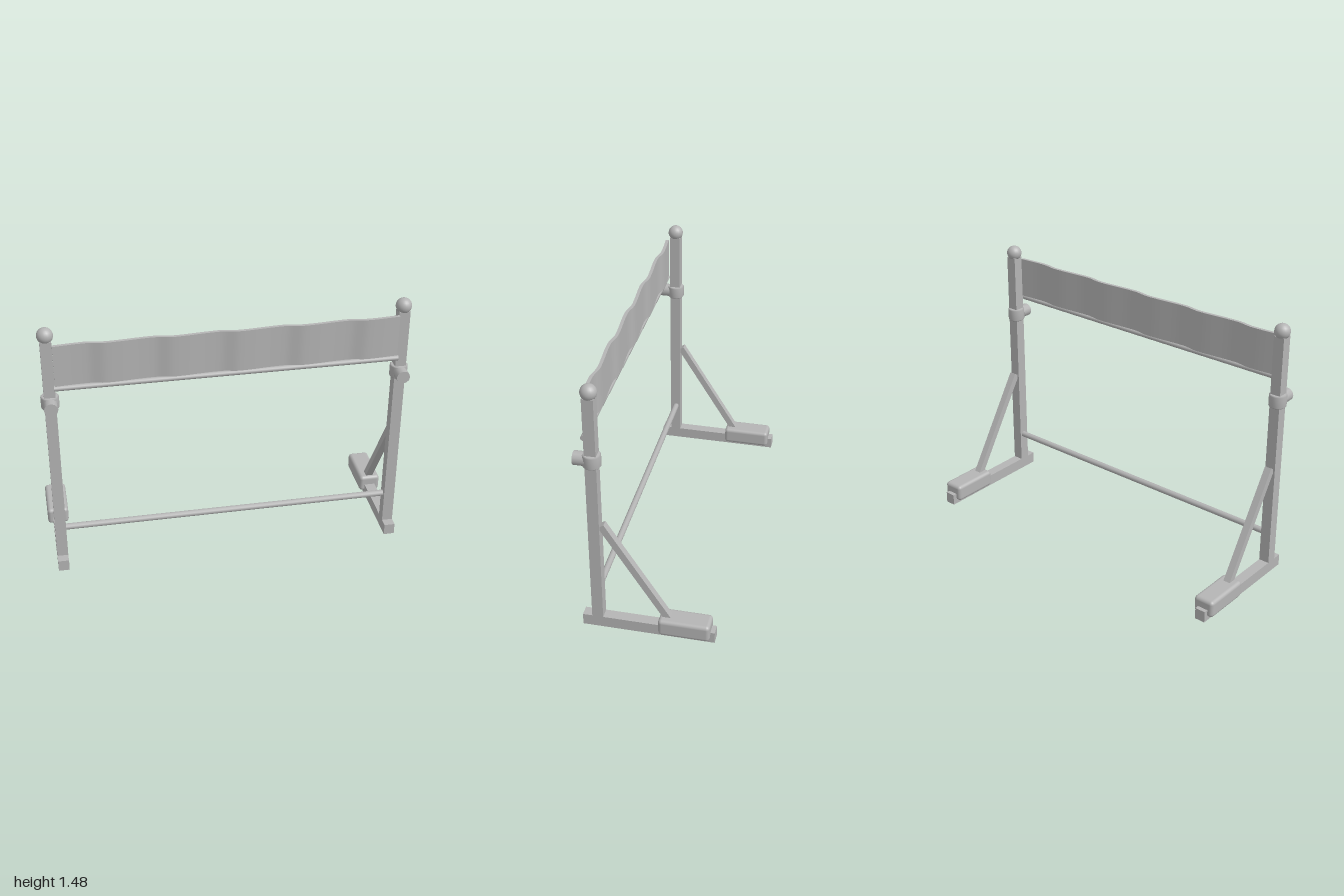
import * as THREE from 'three';
import { RoundedBoxGeometry } from 'three/addons/geometries/RoundedBoxGeometry.js';

const POST_X = 0.94, POST_Z = 0.273;

export function createModel() {
  const model = new THREE.Group();
  model.name = 'bannerStand';
  const grey = new THREE.MeshStandardMaterial({ color: 0xb4b4b4 });
  grey.name = 'grey';

  const add = (parent, name, geometry, x, y, z) => {
    const mesh = new THREE.Mesh(geometry, grey);
    mesh.name = name;
    mesh.position.set(x, y, z);
    parent.add(mesh);
    return mesh;
  };

  // Two uprights, each with its foot, brace, weight and clamp
  for (const [side, s] of [['left', 1], ['right', -1]]) {
    const stand = new THREE.Group();
    stand.name = side + 'Stand';
    stand.position.x = s * POST_X;
    model.add(stand);

    add(stand, 'foot', new THREE.BoxGeometry(0.06, 0.065, 0.715), 0, 0.0325, -0.003);
    add(stand, 'post', new THREE.BoxGeometry(0.06, 1.355, 0.06), 0, 0.7375, POST_Z);
    add(stand, 'ballCap', new THREE.SphereGeometry(0.043, 20, 14), 0, 1.44, POST_Z);
    add(stand, 'weight', new RoundedBoxGeometry(0.12, 0.098, 0.277, 3, 0.02), 0, 0.069, -0.198);

    // Diagonal brace from the post down to the weight
    const top = new THREE.Vector2(0.238, 0.66), low = new THREE.Vector2(-0.115, 0.095);
    const brace = add(stand, 'brace', new THREE.BoxGeometry(0.04, top.distanceTo(low), 0.037),
      0, (top.y + low.y) / 2, (top.x + low.x) / 2);
    brace.rotation.x = Math.atan2(top.x - low.x, top.y - low.y);

    // Height clamp: rounded collar and a front knob
    const collar = [[0, -0.037], [0.042, -0.037], [0.048, -0.03], [0.048, 0.03], [0.042, 0.037], [0, 0.037]];
    add(stand, 'collar', new THREE.LatheGeometry(collar.map(p => new THREE.Vector2(...p)), 20), 0, 1.053, POST_Z);
    const knob = add(stand, 'knob', new THREE.CylinderGeometry(0.037, 0.037, 0.06, 12), 0, 1.053, 0.335);
    knob.rotation.x = Math.PI / 2;
  }

  // Horizontal rods between the posts
  const rod = (name, r, y, z) => {
    add(model, name, new THREE.CylinderGeometry(r, r, 1.83, 10), 0, y, z).rotation.z = Math.PI / 2;
  };
  rod('lowerCrossbar', 0.018, 0.237, 0.27);
  rod('bannerRod', 0.015, 1.154, 0.32);

  // Cloth banner with shallow folds: a short rise, then a long fall
  const cloth = new THREE.BoxGeometry(1.82, 0.232, 0.018, 120, 1, 1);
  const pos = cloth.attributes.position;
  const fold = x => {
    const t = (((x + 0.64) / 0.345) % 1 + 1) % 1;
    const u = t < 0.72 ? 1 - t / 0.72 : (t - 0.72) / 0.28;
    return (u * u * (3 - 2 * u) - 0.5) * 0.014;
  };
  for (let i = 0; i < pos.count; i++) pos.setZ(i, pos.getZ(i) + fold(pos.getX(i)));
  cloth.computeVertexNormals();
  add(model, 'banner', cloth, 0, 1.284, 0.314);

  return model;
}
